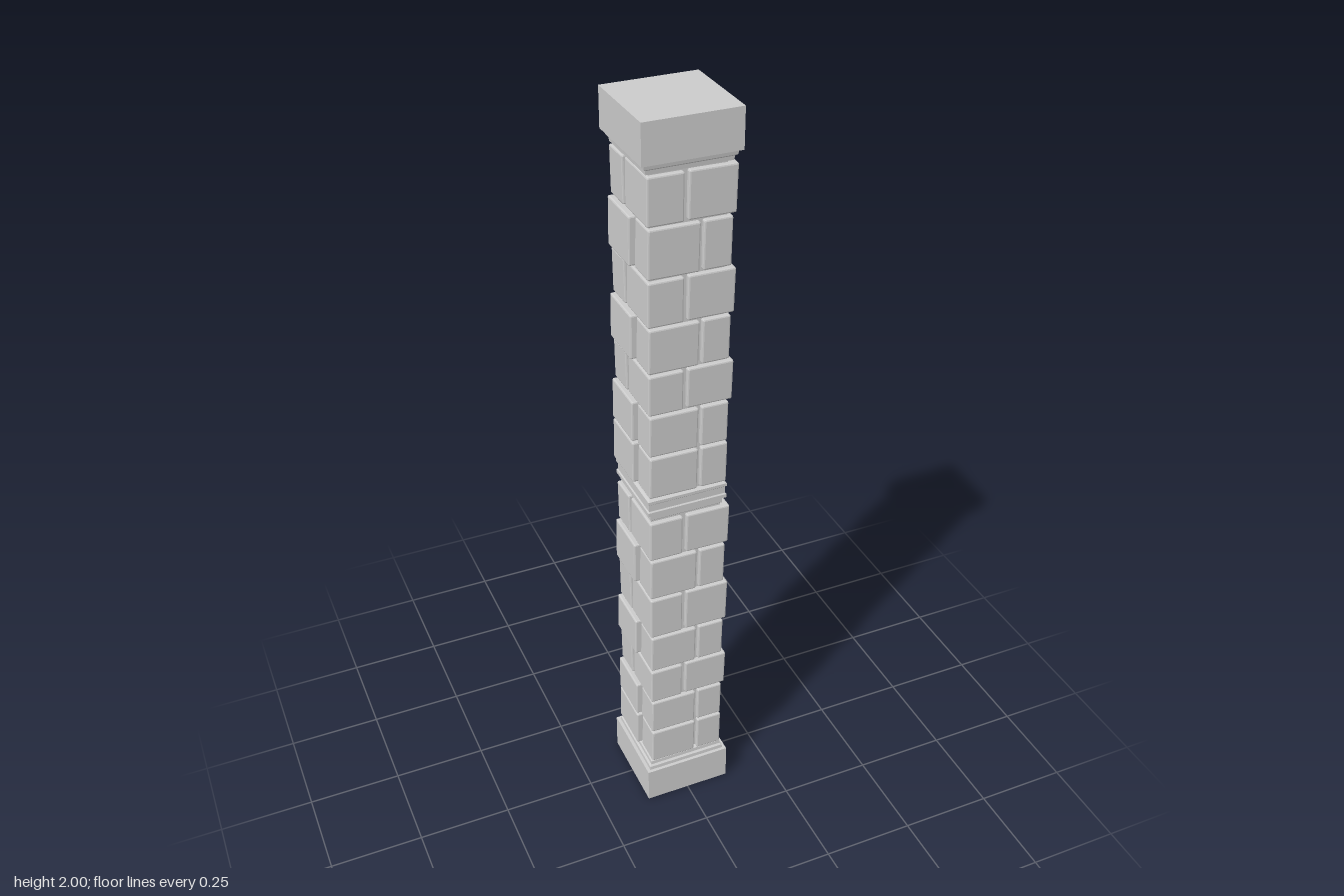
import * as THREE from 'three';
import { RoundedBoxGeometry } from 'three/addons/geometries/RoundedBoxGeometry.js';

const stone = new THREE.MeshStandardMaterial({ color: 0xcccccc, flatShading: true });

// Square stepped solid from [half width, height] pairs, bottom to top
function squareProfile(name, pairs) {
  const pts = pairs.map(([w, y]) => new THREE.Vector2(w * Math.SQRT2, y));
  pts.unshift(new THREE.Vector2(0, pairs[0][1]));
  pts.push(new THREE.Vector2(0, pairs[pairs.length - 1][1]));
  const mesh = new THREE.Mesh(new THREE.LatheGeometry(pts, 4, Math.PI / 4), stone);
  mesh.name = name;
  return mesh;
}

// Chamfered stone block filling the given x, y and z ranges, slightly tilted
function block(x0, x1, y0, y1, z0, z1, tilt) {
  const geo = new RoundedBoxGeometry(x1 - x0, y1 - y0, z1 - z0, 1, 0.004);
  const mesh = new THREE.Mesh(geo, stone);
  mesh.position.set((x0 + x1) / 2, (y0 + y1) / 2, (z0 + z1) / 2);
  mesh.rotation.set(tilt * 0.8, 0, -tilt);
  mesh.name = 'stoneBlock';
  return mesh;
}

// Four interlocking corner blocks; each type has its own joints and outer faces
const courseTypes = {
  A: [
    [0.034, 0.105, -0.020, 0.106, 0.012],
    [-0.026, 0.105, -0.111, -0.029, -0.010],
    [-0.112, -0.034, -0.106, 0.021, 0.010],
    [-0.101, 0.026, 0.030, 0.106, 0.015],
  ],
  B: [
    [-0.003, 0.115, 0.029, 0.106, 0.016],
    [0.028, 0.104, -0.104, 0.021, 0.010],
    [-0.104, 0.004, -0.106, -0.029, -0.012],
    [-0.102, -0.028, -0.021, 0.106, 0.008],
  ],
};

function shaft(name, levels, types) {
  const group = new THREE.Group();
  group.name = name;
  [...types].forEach((type, i) => {
    for (const [x0, x1, z0, z1, tilt] of courseTypes[type]) {
      // The front left block of a B course stops at the front joint
      const right = type === 'B' && x0 === -0.102 ? -0.013 : x1;
      group.add(block(x0, right, levels[i] + 0.003, levels[i + 1] - 0.003, z0, z1, tilt));
    }
  });
  return group;
}

export function createModel() {
  const model = new THREE.Group();
  model.name = 'stonePillar';

  // Plinth with stepped moulding
  model.add(squareProfile('base', [
    [0.12, 0], [0.12, 0.103], [0.111, 0.103], [0.110, 0.113],
    [0.105, 0.117], [0.104, 0.127], [0.094, 0.131],
  ]));

  // Recessed mortar core behind the blocks
  model.add(squareProfile('core', [[0.094, 0.12], [0.094, 1.88]]));

  // Block courses below and above the middle band
  model.add(shaft('lowerShaft', [0.125, 0.238, 0.35, 0.462, 0.58, 0.71, 0.836, 0.957], 'AABABAB'));
  model.add(shaft('upperShaft', [1.028, 1.15, 1.267, 1.38, 1.502, 1.622, 1.75, 1.873], 'AABABAB'));

  // Middle band
  model.add(squareProfile('middleBand', [
    [0.094, 0.958], [0.098, 0.962], [0.098, 0.974], [0.106, 0.980],
    [0.106, 0.990], [0.103, 0.993], [0.103, 1.012], [0.106, 1.015],
    [0.106, 1.023], [0.100, 1.027],
  ]));

  // Capital with stepped moulding
  model.add(squareProfile('cap', [
    [0.094, 1.872], [0.104, 1.876], [0.105, 1.886], [0.110, 1.890],
    [0.112, 1.902], [0.12, 1.902], [0.12, 2],
  ]));

  return model;
}
